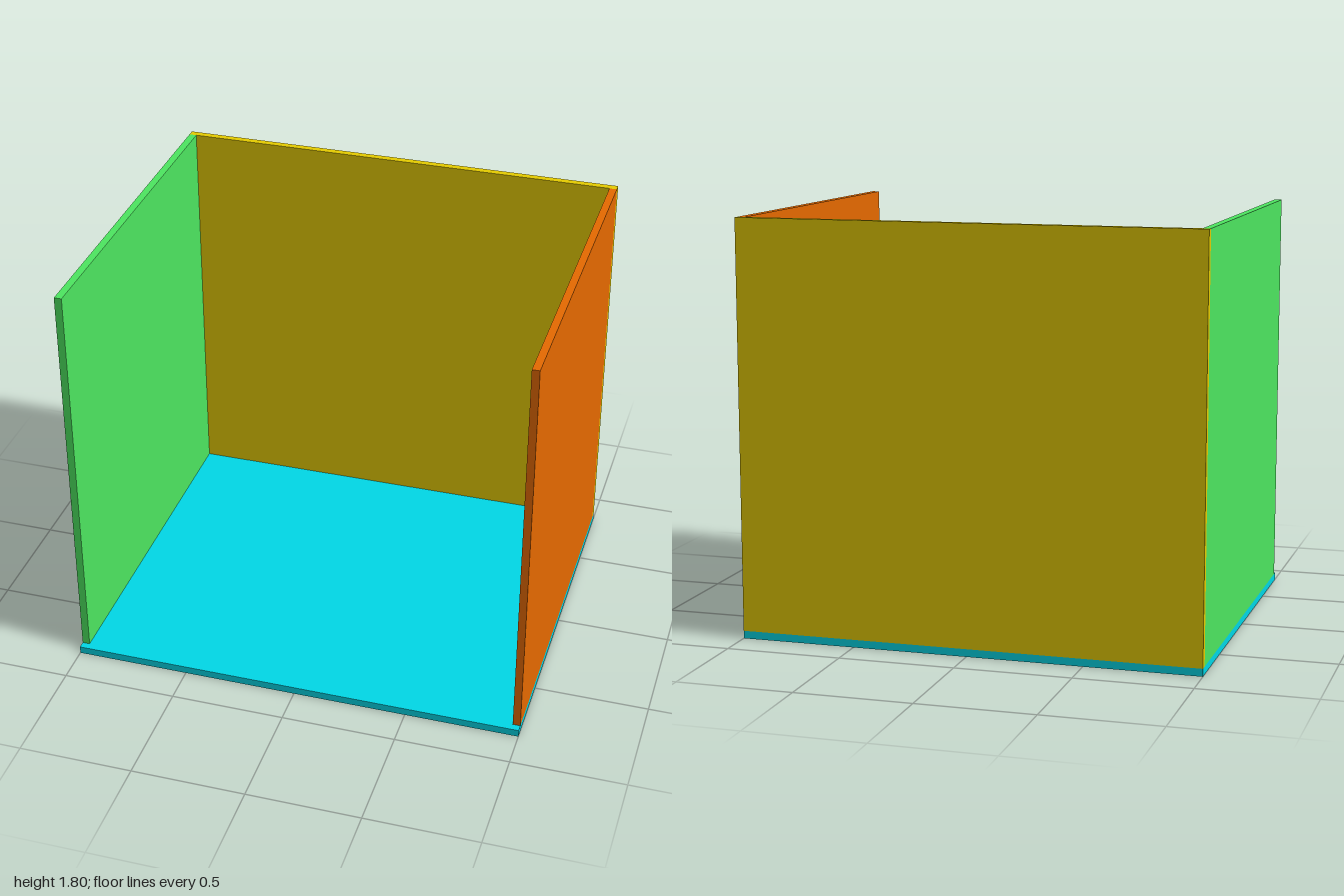
import * as THREE from 'three';

const T = 0.033;      // panel thickness
const W = 2;          // overall width
const D = 1.667;      // overall depth
const H = 1.8;        // overall height

function material(name, color) {
  const m = new THREE.MeshStandardMaterial({ color });
  m.name = name;
  return m;
}

export function createModel() {
  const group = new THREE.Group();
  group.name = 'openBooth';

  const panel = (name, mat, size, position) => {
    const mesh = new THREE.Mesh(new THREE.BoxGeometry(...size), mat);
    mesh.name = name;
    mesh.position.set(...position);
    group.add(mesh);
  };

  const wallHeight = H - T;
  const wallY = T + wallHeight / 2;
  const sideDepth = D - 2 * T;
  const sideX = (W - T) / 2;

  // Floor slab, reaching slightly past the side walls at the front
  panel('floor', material('cyan', 0x00d9e8), [W, T, D], [0, T / 2, 0]);

  // Full-width back wall
  panel('backWall', material('yellow', 0xe6cc00), [W, wallHeight, T], [0, wallY, -(D - T) / 2]);

  // Side walls butting against the back wall
  panel('leftWall', material('orange', 0xe66a00), [T, wallHeight, sideDepth], [sideX, wallY, 0]);
  panel('rightWall', material('green', 0x4de660), [T, wallHeight, sideDepth], [-sideX, wallY, 0]);

  return group;
}
